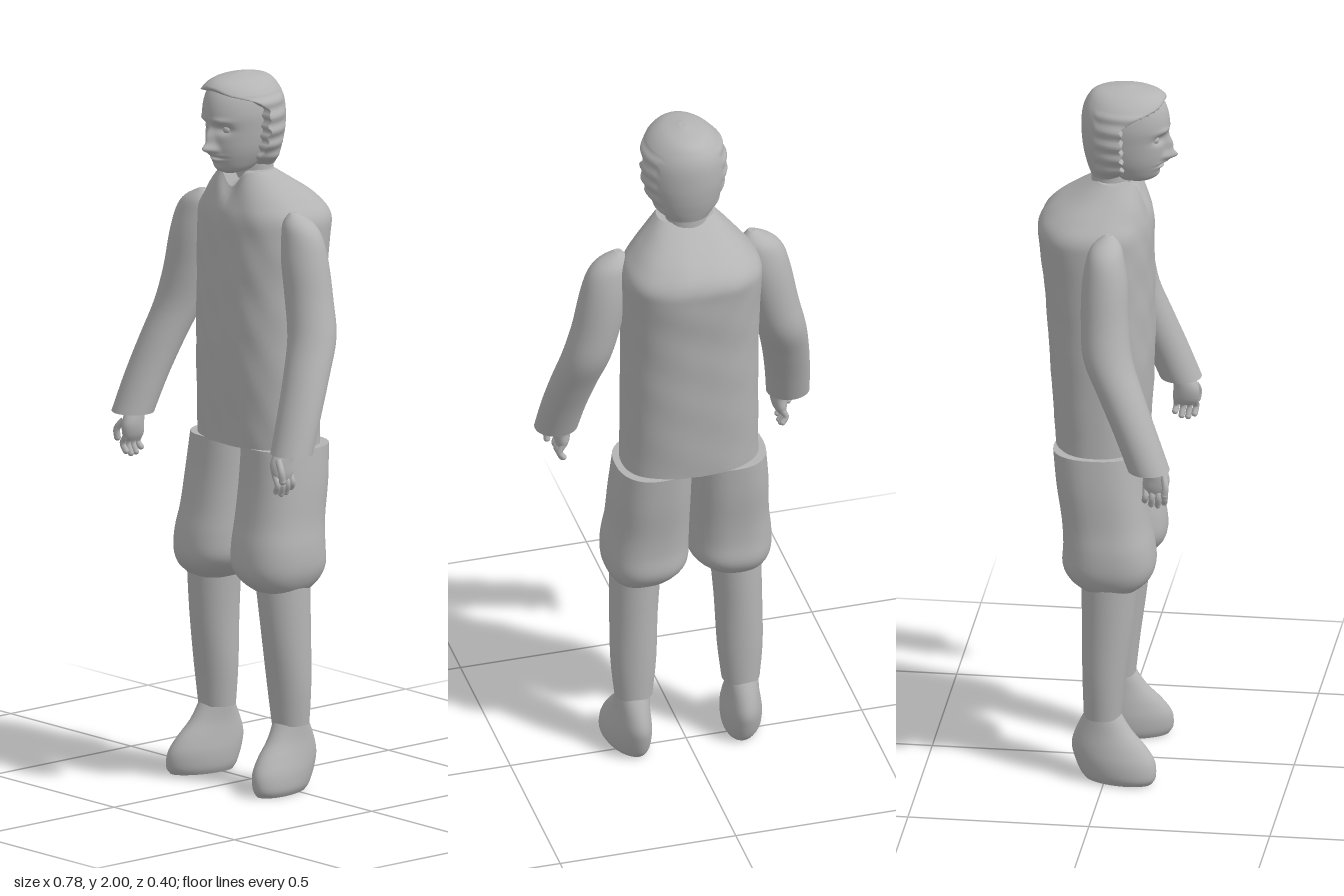
import * as THREE from 'three';

const grey = new THREE.MeshStandardMaterial({ color: 0xb4b4b4 });
grey.name = 'plain grey';

const spline = (a, b, c, d, t) =>
  0.5 * (2 * b + (c - a) * t + (2 * a - 5 * b + 4 * c - d) * t * t + (3 * b - a - 3 * c + d) * t * t * t);

// Smooth closed loft; each row is [y, xMin, xMax, zMin, zMax], listed from bottom to top
function loft(name, rows, { seg = 36, steps = 4, pow = 2, deform = null } = {}) {
  const pos = [], idx = [], rings = (rows.length - 1) * steps + 1;
  const row = (i) => rows[Math.min(rows.length - 1, Math.max(0, i))];
  for (let i = 0; i < rings; i++) {
    const k = Math.min(Math.floor(i / steps), rows.length - 2), t = i / steps - k;
    const [y, x0, x1, z0, z1] = rows[0].map((_, c) =>
      spline(row(k - 1)[c], row(k)[c], row(k + 1)[c], row(k + 2)[c], t));
    for (let j = 0; j < seg; j++) {
      const a = (j / seg) * Math.PI * 2, s = Math.sin(a), c = Math.cos(a);
      const p = new THREE.Vector3(
        (x0 + x1) / 2 + (x1 - x0) / 2 * Math.sign(s) * Math.abs(s) ** (2 / pow), y,
        (z0 + z1) / 2 + (z1 - z0) / 2 * Math.sign(c) * Math.abs(c) ** (2 / pow));
      if (deform) deform(p);
      pos.push(p.x, p.y, p.z);
    }
  }
  for (let i = 0; i < rings - 1; i++)
    for (let j = 0; j < seg; j++) {
      const a = i * seg + j, b = i * seg + (j + 1) % seg;
      idx.push(a, b, a + seg, b, b + seg, a + seg);
    }
  // Flat end caps with their own corners, so the rims stay sharp
  for (const end of [0, rings - 1]) {
    const base = pos.length / 3, mid = [0, 0, 0];
    for (let j = 0; j < seg; j++)
      for (let c = 0; c < 3; c++) {
        const v = pos[(end * seg + j) * 3 + c];
        pos.push(v);
        mid[c] += v / seg;
      }
    pos.push(...mid);
    for (let j = 0; j < seg; j++) {
      const a = base + j, b = base + (j + 1) % seg;
      idx.push(...(end ? [a, b, base + seg] : [b, a, base + seg]));
    }
  }
  const g = new THREE.BufferGeometry();
  g.setAttribute('position', new THREE.Float32BufferAttribute(pos, 3));
  g.setIndex(idx);
  g.computeVertexNormals();
  const mesh = new THREE.Mesh(g, grey);
  mesh.name = name;
  return mesh;
}

// Symmetric row about x = 0
const sym = ([y, w, z0, z1]) => [y, -w, w, z0, z1];

// Gaussian bump used to sculpt the face
const bump = (x, y, cx, cy, sx, sy, h) => h * Math.exp(-(((x - cx) / sx) ** 2) - ((y - cy) / sy) ** 2);

function sphere(name, r, x, y, z) {
  const m = new THREE.Mesh(new THREE.SphereGeometry(r, 16, 12), grey);
  m.name = name;
  m.position.set(x, y, z);
  return m;
}

function finger(name, points, r) {
  const g = new THREE.Group();
  g.name = name;
  const path = new THREE.CatmullRomCurve3(points.map((p) => new THREE.Vector3(...p)));
  g.add(new THREE.Mesh(new THREE.TubeGeometry(path, 10, r, 8), grey));
  g.add(sphere('fingertip', r, ...points[points.length - 1]));
  return g;
}

function createHead() {
  const head = new THREE.Group();
  head.name = 'head';
  head.add(loft('neck', [[1.6, 0.07, -0.07, 0.05], [1.7, 0.06, -0.06, 0.045], [1.82, 0.06, -0.06, 0.05]].map(sym)));
  head.add(loft('face', [
    [1.722, 0.012, 0.05, 0.09], [1.735, 0.042, 0.0, 0.115], [1.765, 0.062, -0.045, 0.132], [1.8, 0.075, -0.065, 0.142],
    [1.85, 0.084, -0.075, 0.148], [1.9, 0.088, -0.078, 0.156], [1.95, 0.08, -0.068, 0.143],
    [1.98, 0.055, -0.035, 0.112], [1.993, 0.005, 0.03, 0.045],
  ].map(sym), { seg: 112, steps: 12, deform: (p) => {
    if (p.z < 0.05) return;
    const x = Math.abs(p.x), y = p.y;
    p.z += bump(x, y, 0, 1.8, 0.014, 0.014, 0.03) + bump(x, y, 0, 1.83, 0.011, 0.028, 0.02)  // nose
      + bump(x, y, 0.016, 1.798, 0.008, 0.009, 0.008)                                       // nostrils
      - bump(x, y, 0.036, 1.857, 0.02, 0.013, 0.014)                                        // eye sockets
      + bump(x, y, 0.036, 1.882, 0.025, 0.008, 0.006)                                       // brows
      + bump(x, y, 0, 1.782, 0.024, 0.005, 0.007) + bump(x, y, 0, 1.767, 0.02, 0.005, 0.007) // lips
      - bump(x, y, 0, 1.774, 0.026, 0.003, 0.006) + bump(x, y, 0, 1.742, 0.02, 0.012, 0.006); // mouth, chin
  } }));
  for (const s of [-1, 1]) head.add(sphere('eye', 0.013, s * 0.036, 1.857, 0.119));

  // Hair: full at the sides and back, cut off ahead of the ears, thin over the forehead
  head.add(loft('hair', [
    [1.74, 0.06, -0.06, 0.03], [1.77, 0.088, -0.07, 0.08], [1.81, 0.108, -0.08, 0.13], [1.86, 0.119, -0.086, 0.15],
    [1.92, 0.116, -0.085, 0.16], [1.96, 0.094, -0.072, 0.152], [1.987, 0.058, -0.045, 0.12], [2.0, 0.01, 0.02, 0.05],
  ].map(sym), { seg: 80, steps: 8, deform: (p) => {
    const limit = 0.035 + 0.12 * THREE.MathUtils.smoothstep(p.y, 1.91, 1.975) + 0.005 * Math.sin(p.y * 210);
    p.z = Math.min(p.z, limit);
    if (p.y < 1.95 && p.z > -0.04) p.x *= 1 + 0.03 * Math.sin(p.y * 150 + p.x * 8);
  } }));
  return head;
}

function createArm(s, side) {
  const arm = new THREE.Group();
  arm.name = side + 'Arm';
  const flip = ([y, x0, x1, z0, z1]) => (s > 0 ? [y, x0, x1, z0, z1] : [y, -x1, -x0, z0, z1]);
  arm.add(loft('sleeve', [
    [1.0, 0.27, 0.39, 0.085, 0.2], [1.1, 0.255, 0.38, 0.045, 0.163], [1.2, 0.235, 0.365, 0, 0.125],
    [1.3, 0.21, 0.345, -0.045, 0.09], [1.4, 0.185, 0.32, -0.055, 0.077], [1.5, 0.165, 0.3, -0.055, 0.072],
    [1.57, 0.157, 0.28, -0.045, 0.06], [1.607, 0.16, 0.25, -0.03, 0.048], [1.633, 0.18, 0.2, 0.003, 0.025],
  ].map(flip)));
  // Hand: palm, four curled fingers and a thumb
  arm.add(loft('palm', [
    [0.925, 0.3, 0.325, 0.13, 0.185], [0.945, 0.29, 0.33, 0.123, 0.195], [0.98, 0.285, 0.332, 0.125, 0.195],
    [1.03, 0.29, 0.335, 0.115, 0.165],
  ].map(flip), { seg: 20 }));
  for (let i = 0; i < 4; i++) {
    const z = 0.132 + i * 0.018, tip = [0.9, 0.889, 0.887, 0.896][i];
    arm.add(finger('finger', [[s * 0.31, 0.94, z], [s * 0.322, 0.915, z], [s * 0.312, tip, z - 0.003]], 0.0085));
  }
  arm.add(finger('thumb', [[s * 0.32, 0.985, 0.182], [s * 0.342, 0.955, 0.19], [s * 0.343, 0.93, 0.187]], 0.0095));
  return arm;
}

function createLeg(s, side) {
  const leg = new THREE.Group();
  leg.name = side + 'Leg';
  const flip = ([y, x0, x1, z0, z1]) => (s > 0 ? [y, x0, x1, z0, z1] : [y, -x1, -x0, z0, z1]);
  leg.add(loft('breeches', [
    [0.56, 0.075, 0.2, -0.06, 0.08], [0.59, 0.035, 0.222, -0.1, 0.117], [0.63, 0.004, 0.235, -0.122, 0.134],
    [0.69, 0, 0.235, -0.12, 0.13], [0.76, 0, 0.226, -0.125, 0.115], [0.86, 0, 0.221, -0.14, 0.1],
    [0.962, 0, 0.211, -0.15, 0.09],
  ].map(flip), { pow: 2.4 }));
  leg.add(loft('stocking', [
    [0.185, 0.1, 0.205, -0.06, 0.042], [0.3, 0.088, 0.215, -0.064, 0.055],
    [0.45, 0.082, 0.215, -0.066, 0.075], [0.6, 0.07, 0.213, -0.068, 0.09],
  ].map(flip)));
  // Shoe, with the toe turned slightly outward
  leg.add(loft('shoe', [
    [0, 0.112, 0.205, -0.055, 0.13], [0.02, 0.104, 0.216, -0.07, 0.142], [0.06, 0.102, 0.218, -0.086, 0.14],
    [0.1, 0.106, 0.212, -0.094, 0.115], [0.145, 0.11, 0.204, -0.082, 0.073], [0.195, 0.108, 0.2, -0.058, 0.04],
  ].map(flip), { deform: (p) => { p.x += s * 0.17 * p.z * (1 - p.y / 0.2); } }));
  return leg;
}

export function createModel() {
  const model = new THREE.Group();
  model.name = 'standingFigure';
  // Sleeveless tunic: straight sides, sloping shoulders and a small notch at the throat
  model.add(loft('tunic', [
    [0.96, 0.192, -0.153, 0.1], [1.2, 0.19, -0.17, 0.112], [1.4, 0.19, -0.184, 0.112], [1.54, 0.194, -0.2, 0.11],
    [1.6, 0.19, -0.202, 0.108], [1.645, 0.158, -0.17, 0.1], [1.69, 0.117, -0.105, 0.088], [1.73, 0.08, -0.045, 0.072],
  ].map(sym), { seg: 64, steps: 6, pow: 2.4, deform: (p) => {
    if (p.z > 0) {
      p.x *= 1 - 0.6 * p.z * Math.abs(p.x);
      p.y -= 0.05 * Math.exp(-((p.x / 0.035) ** 2)) * THREE.MathUtils.smoothstep(p.y, 1.6, 1.73);
    }
    p.z += 0.002 * Math.sin(p.y * 40 + p.x * 25) * Math.sin(p.x * 45);
  } }));
  model.add(createHead());
  for (const [s, side] of [[1, 'left'], [-1, 'right']]) model.add(createArm(s, side), createLeg(s, side));
  return model;
}
